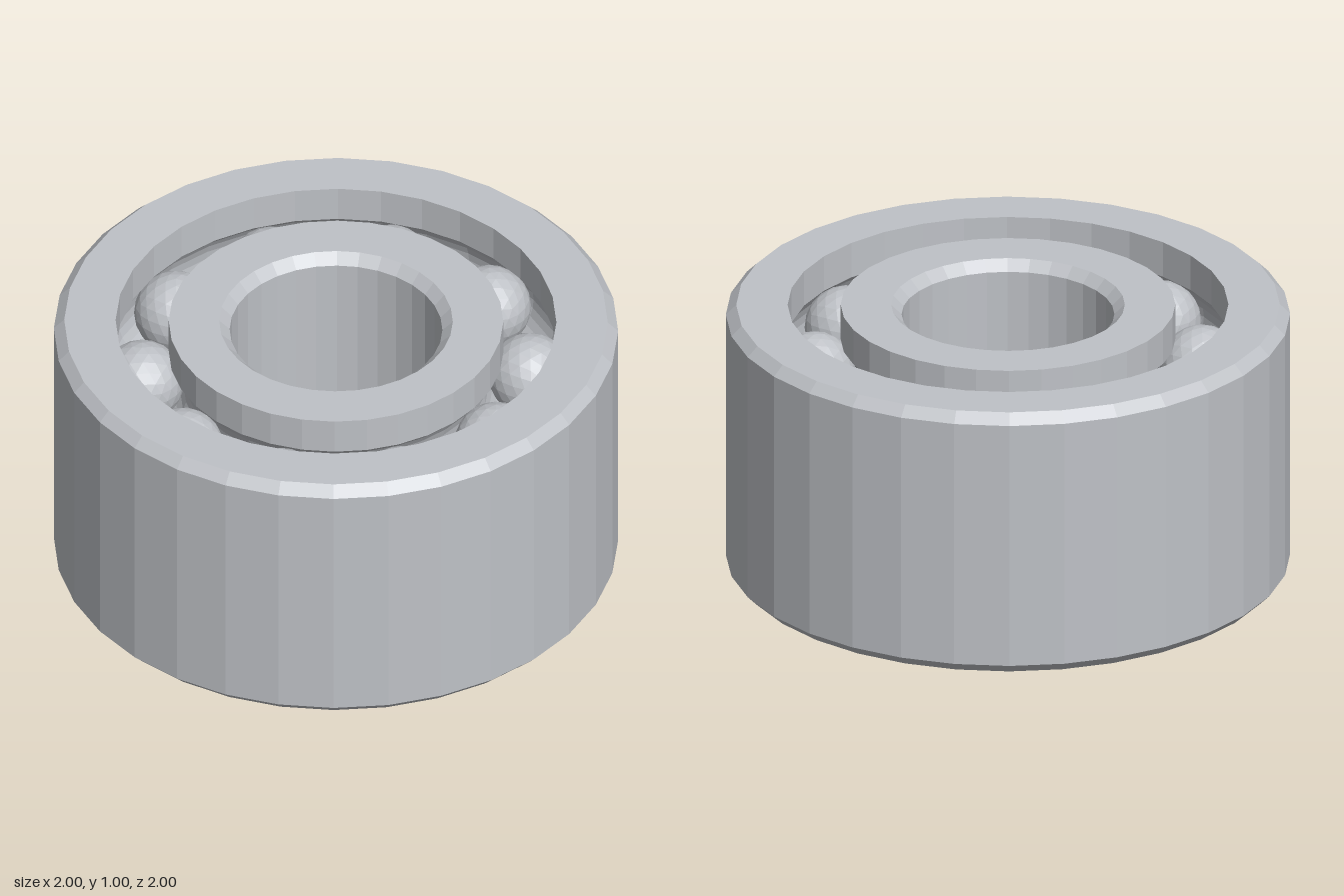
import * as THREE from 'three';

const SIDES = 32;          // facets around each ring
const BALLS = 10;          // balls per row
const ROWS = [0.25, 0.75]; // heights of the two ball rows
const PITCH = 0.687;       // radius of the ball circle
const BALL_R = 0.148;
const GROOVE_R = 0.15;
const CHAMFER = 0.037;

// Arc of a race groove at height cy; side +1 cuts the outer ring, -1 the inner ring
function groove(cy, wallRadius, side) {
  const mid = side > 0 ? 0 : Math.PI;
  const half = Math.acos(Math.abs(wallRadius - PITCH) / GROOVE_R);
  const pts = [];
  for (let i = 0; i <= 8; i++) {
    const a = mid + half * (1 - i / 4);
    pts.push([PITCH + GROOVE_R * Math.cos(a), cy + GROOVE_R * Math.sin(a)]);
  }
  return pts;
}

// Turn a closed, counter-clockwise [radius, height] profile into a ring
function ring(name, profile, material) {
  const pts = [...profile, profile[0]].map(([r, y]) => new THREE.Vector2(r, y));
  const mesh = new THREE.Mesh(new THREE.LatheGeometry(pts, SIDES), material);
  mesh.name = name;
  return mesh;
}

export function createModel() {
  const group = new THREE.Group();
  group.name = 'ballBearing';
  const steel = new THREE.MeshStandardMaterial({ color: 0xbfc2c7, flatShading: true });
  steel.name = 'steel';

  // Outer ring: chamfered outside, two race grooves inside
  const outerWall = 0.781;
  group.add(ring('outerRing', [
    [outerWall, 0], [1 - CHAMFER, 0], [1, CHAMFER], [1, 1 - CHAMFER], [1 - CHAMFER, 1], [outerWall, 1],
    ...groove(ROWS[1], outerWall, 1),
    ...groove(ROWS[0], outerWall, 1),
  ], steel));

  // Inner ring: two race grooves outside, chamfered bore
  const innerWall = 0.593, bore = 0.377;
  group.add(ring('innerRing', [
    [bore + CHAMFER, 0], [innerWall, 0],
    ...groove(ROWS[0], innerWall, -1),
    ...groove(ROWS[1], innerWall, -1),
    [innerWall, 1], [bore + CHAMFER, 1], [bore, 1 - CHAMFER], [bore, CHAMFER],
  ], steel));

  // Faceted balls, one vertex pointing straight up
  const ballGeometry = new THREE.IcosahedronGeometry(BALL_R, 3);
  ballGeometry.rotateX(-Math.atan2(1 + Math.sqrt(5), 2));
  ROWS.forEach((y, row) => {
    const balls = new THREE.Group();
    balls.name = row ? 'upperBallRow' : 'lowerBallRow';
    for (let i = 0; i < BALLS; i++) {
      const a = (i / BALLS) * Math.PI * 2;
      const ball = new THREE.Mesh(ballGeometry, steel);
      ball.name = 'ball';
      ball.position.set(PITCH * Math.cos(a), y, PITCH * Math.sin(a));
      ball.rotation.y = -a;
      balls.add(ball);
    }
    group.add(balls);
  });

  return group;
}
